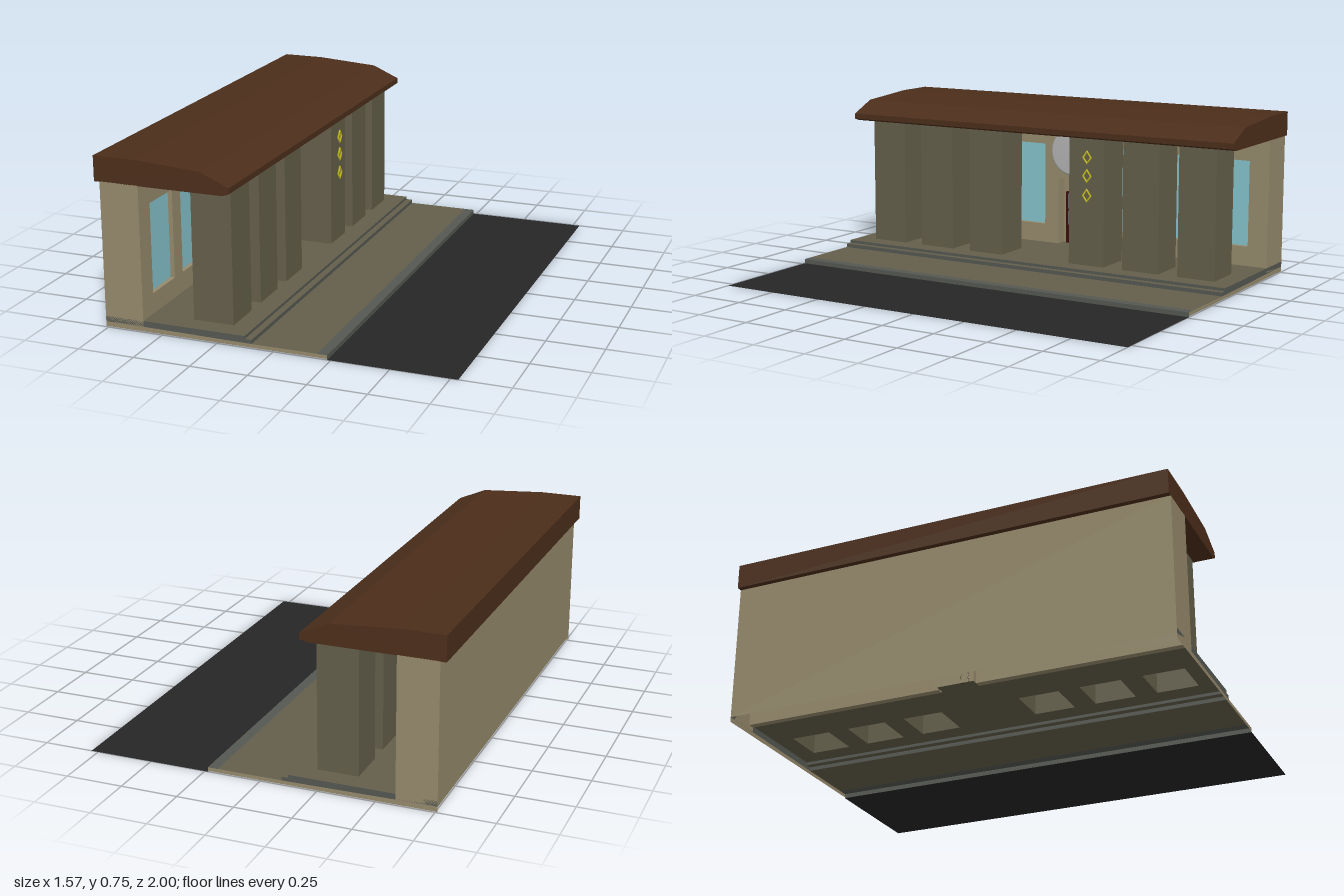
import * as THREE from 'three';

const mat = (color) => new THREE.MeshStandardMaterial({ color, side: THREE.DoubleSide });
const wallMat = mat(0x968a6c), stoneMat = mat(0x645f4a), curbMat = mat(0x555852);
const roofMat = mat(0x4c2e1a), roadMat = mat(0x262626), glassMat = mat(0x86c3cc);
const doorMat = mat(0x3c0c0c), discMat = mat(0xb4b4b4), goldMat = mat(0xc8c020);

const columnZ = [-0.82, -0.545, -0.27, 0.27, 0.545, 0.82];
const windowZ = [-0.805, -0.53, -0.26, 0.26, 0.53, 0.805];

export function createModel() {
  const root = new THREE.Group();

  function add(name, geometry, material, x = 0, y = 0, z = 0) {
    const mesh = new THREE.Mesh(geometry, material);
    mesh.name = name;
    mesh.position.set(x, y, z);
    root.add(mesh);
    return mesh;
  }
  // Box given by its extents
  function block(name, material, x0, x1, y0, y1, z0, z1) {
    return add(name, new THREE.BoxGeometry(x1 - x0, y1 - y0, z1 - z0), material,
      (x0 + x1) / 2, (y0 + y1) / 2, (z0 + z1) / 2);
  }
  // Flat rectangle facing up, or facing +x
  function level(name, material, x0, x1, y, z0 = -1, z1 = 1) {
    return add(name, new THREE.PlaneGeometry(x1 - x0, z1 - z0).rotateX(-Math.PI / 2), material,
      (x0 + x1) / 2, y, (z0 + z1) / 2);
  }
  function upright(name, material, x, y0, y1, z0 = -1, z1 = 1) {
    return add(name, new THREE.PlaneGeometry(z1 - z0, y1 - y0).rotateY(Math.PI / 2), material,
      x, (y0 + y1) / 2, (z0 + z1) / 2);
  }
  const shapeOf = (pts) => new THREE.Shape(pts.map(([x, y]) => new THREE.Vector2(x, y)));
  const rect = (x0, x1, y0, y1) => [[x0, y0], [x1, y0], [x1, y1], [x0, y1]];

  // Roof: one profile run along the building
  const roof = shapeOf([[-0.785, 0.635], [-0.21, 0.635], [-0.18, 0.645], [-0.18, 0.67],
    [-0.305, 0.725], [-0.595, 0.745], [-0.785, 0.745]]);
  add('roof', new THREE.ExtrudeGeometry(roof, { depth: 2, bevelEnabled: false }), roofMat, 0, 0, -1);

  // Porch floor, open beneath each hollow column
  const floor = shapeOf(rect(-0.585, -0.125, -1, 1));
  for (const z of columnZ) floor.holes.push(shapeOf(rect(-0.395, -0.215, z - 0.09, z + 0.09)));
  add('porchFloor', new THREE.ShapeGeometry(floor).rotateX(Math.PI / 2), stoneMat, 0, 0.05, 0);

  // Step, pavement, curb and road as thin sheets
  upright('upperRiser', curbMat, -0.125, 0.037, 0.05);
  level('lowerStep', stoneMat, -0.125, -0.095, 0.037);
  upright('lowerRiser', curbMat, -0.095, 0.02, 0.037);
  level('pavement', stoneMat, -0.095, 0.19, 0.02);
  level('curb', curbMat, 0.19, 0.235, 0.02);
  upright('curbFace', curbMat, 0.235, 0, 0.02);
  level('road', roadMat, 0.235, 0.782, 0);

  // End skirts closing the base
  const lowSkirt = shapeOf([[-0.76, 0.004], [0.235, 0.004], [0.235, 0.02], [-0.095, 0.02], [-0.76, 0.027]]);
  const stepSkirt = shapeOf([[-0.76, 0.025], [-0.095, 0.02], [-0.095, 0.037], [-0.125, 0.037],
    [-0.125, 0.05], [-0.76, 0.05]]);
  for (const z of [-1, 1]) {
    add('baseSkirt', new THREE.ShapeGeometry(lowSkirt), wallMat, 0, 0, z);
    add('stepSkirt', new THREE.ShapeGeometry(stepSkirt), curbMat, 0, 0, z);
  }

  // Hollow columns: four sides, no caps
  for (const z of columnZ) {
    const tube = new THREE.CylinderGeometry(0.09 * Math.SQRT2, 0.09 * Math.SQRT2, 0.587, 4, 1, true)
      .rotateY(Math.PI / 4).toNonIndexed();
    tube.computeVertexNormals();
    add('column', tube, stoneMat, -0.305, 0.3425, z);
  }

  // Front wall with a doorway notch and window openings
  const front = shapeOf([[-1, 0.045], [-0.085, 0.045], [-0.085, 0.37], [0.085, 0.37],
    [0.085, 0.045], [1, 0.045], [1, 0.637], [-1, 0.637]]);
  for (const z of windowZ) front.holes.push(shapeOf(rect(z - 0.1, z + 0.1, 0.14, 0.535)));
  add('frontWall', new THREE.ExtrudeGeometry(front, { depth: 0.03, bevelEnabled: false })
    .rotateY(Math.PI / 2), wallMat, -0.615, 0, 0);
  for (const z of windowZ) upright('windowPane', glassMat, -0.605, 0.13, 0.545, z - 0.11, z + 0.11);

  // Back and end walls
  upright('backWall', wallMat, -0.76, 0.025, 0.637).rotation.y = Math.PI;
  for (const z of [-1, 1]) {
    add('endWall', new THREE.ShapeGeometry(shapeOf(rect(-0.76, -0.585, 0.025, 0.637))), wallMat, 0, 0, z);
  }

  // Doorway recess
  level('doorwayFloor', stoneMat, -0.64, -0.585, 0.05, -0.085, 0.085);
  level('doorwayCeiling', wallMat, -0.64, -0.585, 0.37, -0.085, 0.085);
  upright('doorwayBack', wallMat, -0.64, 0.045, 0.37, -0.085, 0.085);
  for (const z of [-0.085, 0.085]) {
    add('doorwaySide', new THREE.ShapeGeometry(shapeOf(rect(-0.64, -0.585, 0.045, 0.37))), wallMat, 0, 0, z);
  }

  // Double door: solid foot, glazed upper part with bars
  block('doorPanel', doorMat, -0.64, -0.622, 0.05, 0.137, -0.065, 0.065);
  upright('doorGlass', glassMat, -0.634, 0.13, 0.3, -0.063, 0.063);
  for (let i = 0; i < 5; i++) {
    const z = -0.061 + i * 0.0305, w = i === 2 ? 0.005 : 0.0035;
    block('doorBar', doorMat, -0.64, -0.622, 0.05, 0.302, z - w, z + w);
  }
  for (const y of [0.214, 0.298]) block('doorRail', doorMat, -0.64, -0.622, y - 0.004, y + 0.004, -0.065, 0.065);

  // Round disc above the door, with a softened rim
  const discProfile = [[0, 0.031], [0.1, 0.031], [0.11, 0.027], [0.114, 0.018], [0.114, 0]]
    .map(([r, h]) => new THREE.Vector2(r, h)).reverse();
  add('wallDisc', new THREE.LatheGeometry(discProfile, 40).rotateZ(-Math.PI / 2), discMat, -0.586, 0.506, 0);

  // Three small gilt ornaments on one column
  for (const y of [0.55, 0.465, 0.375]) {
    const ornament = add('giltOrnament', new THREE.TorusGeometry(0.02, 0.005, 6, 4).rotateY(Math.PI / 2),
      goldMat, -0.208, y, -0.275);
    ornament.scale.y = 1.35;
  }

  return root;
}
